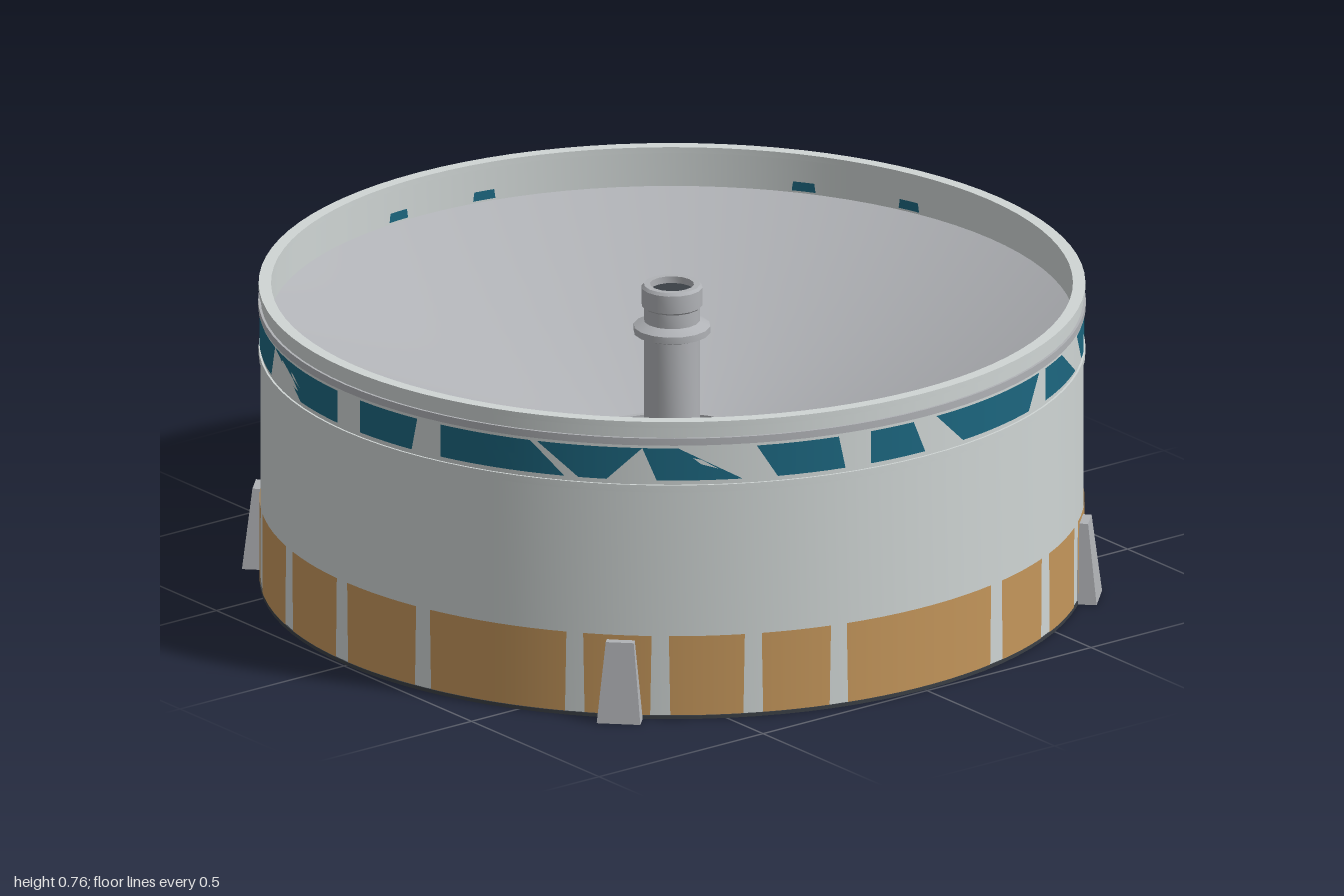
import * as THREE from 'three';
import { toCreasedNormals } from 'three/addons/utils/BufferGeometryUtils.js';

const DEG = Math.PI / 180;

function makeMaterial(name, color, side = THREE.FrontSide) {
  const m = new THREE.MeshStandardMaterial({ color, side });
  m.name = name;
  return m;
}

export function createModel() {
  const white = makeMaterial('pale grey shell', 0xcfd5d4);
  const grey = makeMaterial('mid grey metal', 0xb0b2b6);
  const hatchGrey = makeMaterial('hatch grey', 0xa4a9aa, THREE.DoubleSide);
  const ochre = makeMaterial('ochre', 0xc4965b, THREE.DoubleSide);
  const blue = makeMaterial('deep blue', 0x1c667f, THREE.DoubleSide);
  const dark = makeMaterial('dark grey', 0x3a3f45);

  const model = new THREE.Group();
  model.name = 'drumWithDish';

  function add(name, geometry, material, parent = model) {
    const mesh = new THREE.Mesh(geometry, material);
    mesh.name = name;
    parent.add(mesh);
    return mesh;
  }

  function group(name) {
    const g = new THREE.Group();
    g.name = name;
    model.add(g);
    return g;
  }

  // Revolved profile; ascending points face outward
  function lathe(name, points, material, segments = 96) {
    const profile = points.map(([r, y]) => new THREE.Vector2(r, y));
    const geometry = new THREE.LatheGeometry(profile, segments);
    return add(name, toCreasedNormals(geometry, 40 * DEG), material);
  }

  // Closed square-section ring
  function ring(name, r0, r1, y0, y1, material, segments) {
    return lathe(name, [[r0, y0], [r1, y0], [r1, y1], [r0, y1], [r0, y0]], material, segments);
  }

  // Thin curved plate; angles in degrees from the front towards +x
  function plate(name, r, y0, y1, [topA, topB, botB, botA], material, parent, inward = false) {
    const steps = Math.max(2, Math.ceil(Math.max(topB - topA, botB - botA) / 3));
    const positions = [], normals = [], index = [];
    const sign = inward ? -1 : 1;
    for (let i = 0; i <= steps; i++) {
      const t = i / steps;
      const ends = [[botA + (botB - botA) * t, y0], [topA + (topB - topA) * t, y1]];
      for (const [angle, y] of ends) {
        const s = Math.sin(angle * DEG), c = Math.cos(angle * DEG);
        positions.push(r * s, y, r * c);
        normals.push(sign * s, 0, sign * c);
      }
      if (i < steps) {
        const a = i * 2;
        if (inward) index.push(a, a + 1, a + 2, a + 2, a + 1, a + 3);
        else index.push(a, a + 2, a + 1, a + 2, a + 3, a + 1);
      }
    }
    const geometry = new THREE.BufferGeometry();
    geometry.setAttribute('position', new THREE.Float32BufferAttribute(positions, 3));
    geometry.setAttribute('normal', new THREE.Float32BufferAttribute(normals, 3));
    geometry.setIndex(index);
    return add(name, geometry, material, parent);
  }

  // Drum wall with rolled bands
  ring('drumWall', 0.97, 0.99, 0.005, 0.755, white);
  ring('bottomLip', 0.969, 0.993, 0, 0.009, dark);
  ring('topRim', 0.965, 0.995, 0.745, 0.76, white);
  ring('upperBand', 0.985, 0.996, 0.7, 0.718, grey);
  ring('lowerBand', 0.985, 0.995, 0.58, 0.598, white);
  ring('innerSeal', 0.955, 0.972, 0.08, 0.1, dark);

  // Conical dish with a flat centre, and the floor beneath
  lathe('dish', [[0.972, 0.66], [0.22, 0.33], [0, 0.33]], grey);
  ring('dishCentreRim', 0.212, 0.225, 0.32, 0.35, grey, 64);
  lathe('floor', [[0.2, 0.27], [0.972, 0.27]], ochre);
  lathe('floorCentre', [[0, 0.28], [0.2, 0.28]], grey, 64);
  ring('floorCentreRim', 0.2, 0.22, 0.262, 0.285, dark, 64);

  // Central pipe with collars and a dark bore
  lathe('centrePipe', [
    [0.1, 0.33], [0.1, 0.345], [0.068, 0.36], [0.068, 0.625], [0.093, 0.635], [0.093, 0.652],
    [0.068, 0.665], [0.068, 0.7], [0.074, 0.705], [0.074, 0.75], [0.068, 0.757],
    [0.053, 0.757], [0.053, 0.735],
  ], grey, 16);
  lathe('pipeBore', [[0.055, 0.74], [0, 0.74]], dark, 10);

  // Ochre panels around the foot; the pattern repeats every half turn
  const gaps = [-1, 15, 38.5, 50.5, 63.5, 76, 104, 117, 130.5, 148, 164, 179];
  const panels = group('footPanels');
  const bluePanels = group('bluePanels');
  const blueShapes = [
    [-88, -76, -76, -83], [-76, -65, -68, -76], [-63, -57, -50, -63], [-49, -41, -42, -45],
    [-37, -22, -24, -37], [-22, -2, -2, -12], [3, 14, 13, 3], [18, 32, 37, 18],
    [33, 48, 43, 39], [48, 53, 62, 50], [64, 76, 77, 67], [81, 88, 90, 81],
  ];
  for (const turn of [0, 180]) {
    for (let i = 0; i < gaps.length - 1; i++) {
      const a = gaps[i] + turn + 1.4, b = gaps[i + 1] + turn - 1.4, mid = (a + b) / 2;
      plate('footPanel', 0.993, 0.01, 0.212, [a - 0.2, b + 0.2, b, a], ochre, panels);
      plate('innerFootPanel', 0.967, 0.01, 0.2, [mid - 2.5, mid + 2.5, mid + 1.5, mid - 1.5], ochre, panels, true);
    }
    // Irregular blue panels below the top rim
    for (const shape of blueShapes) {
      plate('bluePanel', 0.993, 0.61, 0.692, shape.map((d) => d + turn), blue, bluePanels);
    }
    for (const d of [16, 33, 80, 95]) {
      const a = d + turn;
      plate('innerBluePanel', 0.967, 0.665, 0.688, [a - 1.6, a + 1.6, a + 1.8, a - 1.8], blue, bluePanels, true);
    }
  }

  // Side hatch
  plate('sideHatch', 0.996, 0.35, 0.55, [-83, -64.5, -64.5, -83], hatchGrey, model);

  // Four tapered feet on the diagonals
  const feet = group('feet');
  for (let k = 0; k < 4; k++) {
    const geometry = new THREE.BoxGeometry(0.106, 0.2, 0.065).toNonIndexed();
    const p = geometry.attributes.position;
    for (let i = 0; i < p.count; i++) {
      if (p.getY(i) > 0) {
        p.setX(i, p.getX(i) * 0.64);
        if (p.getZ(i) > 0) p.setZ(i, p.getZ(i) - 0.023);
      }
    }
    geometry.translate(0, 0.1, 1.004);
    geometry.rotateY((45 + 90 * k) * DEG);
    geometry.computeVertexNormals();
    add('foot', geometry, grey, feet);
  }

  return model;
}
